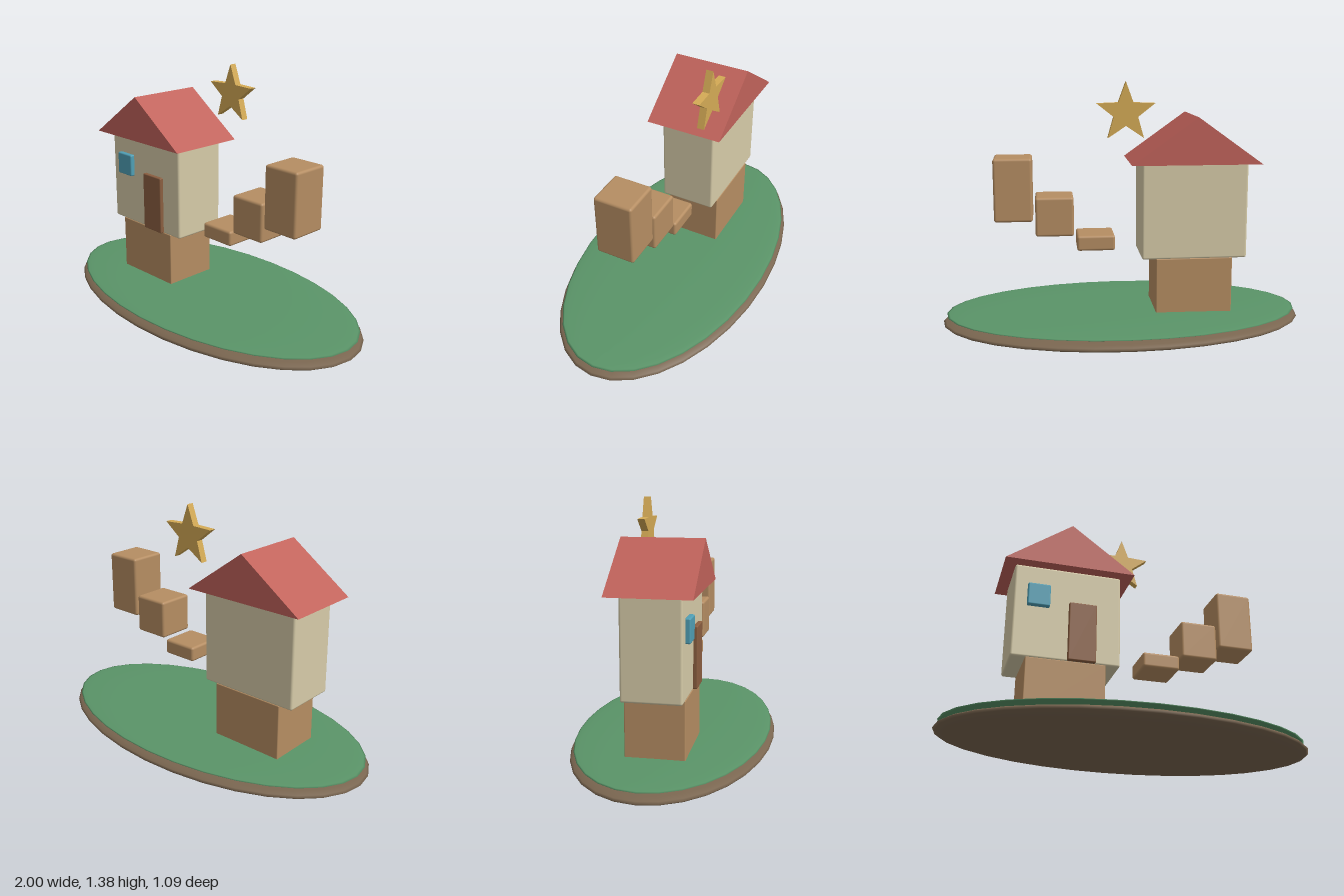
import * as THREE from 'three';
import { RoundedBoxGeometry } from 'three/addons/geometries/RoundedBoxGeometry.js';

const mat = (color) => new THREE.MeshStandardMaterial({ color });
const COLORS = {
  soil: mat(0x7a6650), grass: mat(0x5a9468), wood: mat(0xb58d62), wall: mat(0xd6cba8),
  roof: mat(0xc0625a), door: mat(0x8a5e40), glass: mat(0x4f9fb5), star: mat(0xd4aa55),
};

export function createModel() {
  const model = new THREE.Group();
  model.name = 'floatingIsland';

  const add = (name, geometry, material) => {
    const mesh = new THREE.Mesh(geometry, material);
    mesh.name = name;
    model.add(mesh);
    return mesh;
  };

  // Rounded box given by its minimum and maximum corners
  const box = (name, material, [x0, y0, z0], [x1, y1, z1], radius) => {
    const geometry = new RoundedBoxGeometry(x1 - x0, y1 - y0, z1 - z0, 3, radius);
    add(name, geometry, material).position.set((x0 + x1) / 2, (y0 + y1) / 2, (z0 + z1) / 2);
  };

  // Outline extruded along z between two depths
  const extrude = (name, material, points, z0, z1) => {
    const shape = new THREE.Shape(points.map(([x, y]) => new THREE.Vector2(x, y)));
    const geometry = new THREE.ExtrudeGeometry(shape, { depth: z1 - z0, bevelEnabled: false });
    add(name, geometry, material).position.z = z0;
  };

  // Flattened ellipsoids for the island
  const disc = (name, material, y, rx, ry, rz) => {
    const mesh = add(name, new THREE.SphereGeometry(1, 32, 20), material);
    mesh.scale.set(rx, ry, rz);
    mesh.position.y = y;
  };
  disc('soil', COLORS.soil, 0.06, 1, 0.058, 0.545);
  disc('grass', COLORS.grass, 0.105, 0.98, 0.018, 0.525);

  // House on its pedestal
  box('pedestal', COLORS.wood, [-0.59, 0.1, -0.155], [-0.17, 0.425, 0.155], 0.005);
  box('walls', COLORS.wall, [-0.668, 0.422, -0.155], [-0.092, 0.948, 0.155], 0.012);
  extrude('roof', COLORS.roof, [[-0.73, 0.946], [-0.03, 0.946], [-0.38, 1.197]], -0.216, 0.216);
  box('door', COLORS.door, [-0.375, 0.425, 0.15], [-0.226, 0.753, 0.177], 0.006);
  box('window', COLORS.glass, [-0.598, 0.71, 0.15], [-0.478, 0.836, 0.181], 0.008);

  // Floating steps: left edge, bottom, top
  [[0.05, 0.467, 0.551], [0.273, 0.551, 0.765], [0.493, 0.634, 0.977]].forEach(([x, y0, y1], i) =>
    box(`step${i + 1}`, COLORS.wood, [x, y0, -0.105], [x + 0.207, y1, 0.105], 0.014));

  // Five-pointed star
  const starPoints = Array.from({ length: 10 }, (_, i) => {
    const r = i % 2 ? 0.067 : 0.161;
    const a = Math.PI / 2 + (i * Math.PI) / 5;
    return [r * Math.cos(a), 1.22 + r * Math.sin(a)];
  });
  extrude('star', COLORS.star, starPoints, -0.185, -0.146);

  return model;
}
